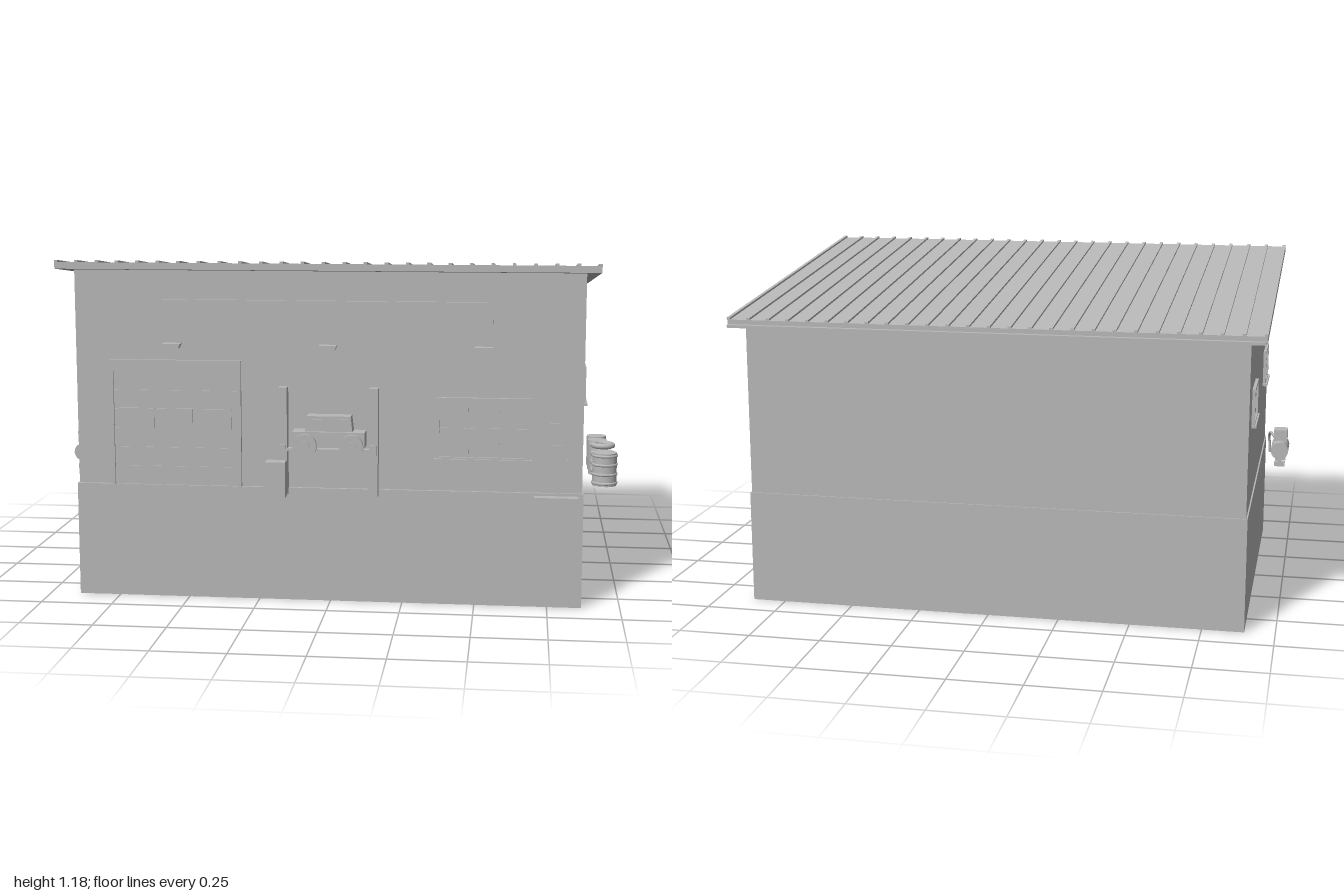
import * as THREE from 'three';

export function createModel() {
  const root = new THREE.Group();
  root.name = 'workshop';
  const grey = new THREE.MeshStandardMaterial({ color: 0xb8b8b8 });
  grey.name = 'plain grey';

  function add(name, geo, parent = root) {
    const m = new THREE.Mesh(geo, grey);
    m.name = name;
    parent.add(m);
    return m;
  }
  function group(name, parent = root) {
    const g = new THREE.Group();
    g.name = name;
    parent.add(g);
    return g;
  }
  // box given by its limits
  function box(name, x0, x1, y0, y1, z0, z1, parent) {
    const m = add(name, new THREE.BoxGeometry(x1 - x0, y1 - y0, z1 - z0), parent);
    m.position.set((x0 + x1) / 2, (y0 + y1) / 2, (z0 + z1) / 2);
    return m;
  }
  // side profile of [z, y] points carried along x
  function prism(name, pts, x0, x1, parent) {
    const shape = new THREE.Shape(pts.map(p => new THREE.Vector2(p[0], p[1])));
    const geo = new THREE.ExtrudeGeometry(shape, { depth: x1 - x0, bevelEnabled: false });
    geo.rotateY(-Math.PI / 2);
    geo.translate(x1, 0, 0);
    return add(name, geo, parent);
  }
  function cyl(name, r, h, x, y, z, parent, axis = 'y') {
    const geo = new THREE.CylinderGeometry(r, r, h, 24);
    if (axis === 'z') geo.rotateX(Math.PI / 2);
    if (axis === 'x') geo.rotateZ(Math.PI / 2);
    const m = add(name, geo, parent);
    m.position.set(x, y, z);
    return m;
  }
  function ring(name, r, t, x, y, z, parent) {
    const geo = new THREE.TorusGeometry(r, t, 8, 24);
    geo.rotateX(Math.PI / 2);
    const m = add(name, geo, parent);
    m.position.set(x, y, z);
    return m;
  }
  function tube(name, pts, r, parent) {
    const curve = new THREE.CatmullRomCurve3(pts.map(p => new THREE.Vector3(...p)));
    return add(name, new THREE.TubeGeometry(curve, 16, r, 8), parent);
  }

  // building shell
  box('plinth', -0.895, 0.868, 0, 0.4, -0.64, 0.625);
  prism('walls', [[0.615, 0.4], [0.615, 1.158], [-0.635, 1.012], [-0.635, 0.4]], -0.89, 0.863);

  // sloping roof with standing ribs
  const roof = group('roof');
  prism('roofSlab', [[0.665, 1.155], [0.665, 1.178], [-0.685, 1.03], [-0.685, 1.007]], -0.945, 0.91, roof);
  for (let i = 0; i <= 26; i++) {
    const x = -0.94 + i * 0.071;
    prism('roofRib', [[0.665, 1.176], [0.665, 1.185], [-0.685, 1.037], [-0.685, 1.028]], x - 0.006, x + 0.006, roof);
  }
  box('gutter', -0.94, 0.905, 1.004, 1.014, -0.705, -0.684, roof);

  // roller door
  const door = group('rollerDoor');
  box('doorPanel', -0.765, -0.315, 0.4, 0.83, 0.61, 0.618, door);
  for (let i = 0; i < 6; i++) {
    const y = 0.405 + i * 0.067;
    box('doorSlat', -0.76, -0.32, y, y + 0.061, 0.612, 0.621, door);
  }
  for (const x of [-0.77, -0.322]) box('doorJamb', x, x + 0.012, 0.4, 0.84, 0.61, 0.628, door);
  box('doorHeader', -0.77, -0.31, 0.8, 0.84, 0.61, 0.628, door);
  for (let i = 0; i < 3; i++) {
    const x = -0.74 + i * 0.135;
    box('doorWindow', x, x + 0.125, 0.6, 0.67, 0.616, 0.625, door);
  }

  // blank sign board and its lamps
  const sign = group('signBoard');
  box('signPanel', -0.58, 0.555, 0.935, 1.05, 0.61, 0.63, sign);
  for (const x of [-0.545, -0.005, 0.525]) {
    const shade = new THREE.Shape();
    shade.moveTo(-0.031, 0.9);
    shade.lineTo(-0.024, 0.884);
    shade.lineTo(-0.014, 0.879);
    shade.lineTo(0.014, 0.879);
    shade.lineTo(0.024, 0.884);
    shade.lineTo(0.031, 0.9);
    const lamp = add('lamp', new THREE.ExtrudeGeometry(shade, { depth: 0.034, bevelEnabled: false }), sign);
    lamp.position.set(x, 0, 0.622);
    box('lampArm', x - 0.004, x + 0.004, 0.889, 0.895, 0.61, 0.63, sign);
  }

  // framed window, drawn facing +z around its own centre
  function makeWindow(name, w, h, cols, rows) {
    const g = group(name);
    box('glass', -w / 2, w / 2, -h / 2, h / 2, -0.005, 0.003, g);
    for (const s of [-1, 1]) {
      box('frameSide', s * (w / 2 - 0.005) - 0.005, s * (w / 2 - 0.005) + 0.005, -h / 2, h / 2, -0.005, 0.011, g);
      box('frameRail', -w / 2, w / 2, s * (h / 2 - 0.005) - 0.005, s * (h / 2 - 0.005) + 0.005, -0.005, 0.011, g);
    }
    for (let i = 1; i < cols; i++) {
      const x = -w / 2 + (w * i) / cols;
      box('mullion', x - 0.003, x + 0.003, -h / 2 + 0.008, h / 2 - 0.008, -0.005, 0.008, g);
    }
    for (let i = 1; i < rows; i++) {
      const y = -h / 2 + (h * i) / rows;
      box('glazingBar', -w / 2, w / 2, y - 0.003, y + 0.003, -0.005, 0.007, g);
    }
    box('sill', -w / 2 - 0.006, w / 2 + 0.006, -h / 2 - 0.005, -h / 2 + 0.004, -0.005, 0.017, g);
    return g;
  }
  makeWindow('frontWindow', 0.32, 0.215, 3, 2).position.set(0.525, 0.617, 0.617);
  for (const z of [0.365, -0.385]) {
    const left = makeWindow('leftWindow', 0.2, 0.13, 2, 1);
    left.position.set(0.863, 0.75, z);
    left.rotation.y = Math.PI / 2;
    const right = makeWindow('rightWindow', 0.2, 0.13, 2, 1);
    right.position.set(-0.89, 0.75, z);
    right.rotation.y = -Math.PI / 2;
  }

  // small side door with step
  const entry = group('entryDoor');
  box('entryPanel', 0.72, 0.825, 0.4, 0.64, 0.61, 0.618, entry);
  box('entryStile', 0.77, 0.775, 0.42, 0.63, 0.612, 0.621, entry);
  box('entryRail', 0.745, 0.8, 0.56, 0.565, 0.612, 0.621, entry);
  cyl('doorKnob', 0.006, 0.02, 0.813, 0.51, 0.622, entry, 'z');
  box('doorStep', 0.7, 0.85, 0.376, 0.391, 0.61, 0.66, entry);

  // two-post lift
  const lift = group('carLift');
  for (const x of [-0.16, 0.153]) {
    box('liftPost', x - 0.015, x + 0.015, 0.38, 0.755, 0.622, 0.66, lift);
    box('liftCarriage', x - 0.012, x + 0.012, 0.525, 0.56, 0.64, 0.668, lift);
  }
  box('liftArm', -0.15, 0.145, 0.535, 0.544, 0.632, 0.66, lift);
  box('controlCabinet', -0.215, -0.146, 0.38, 0.503, 0.655, 0.705, lift);

  // car raised on the lift
  const car = group('raisedCar');
  box('carBody', -0.125, 0.125, 0.553, 0.607, 0.618, 0.682, car);
  const cabin = new THREE.Shape();
  cabin.moveTo(-0.082, 0.605);
  cabin.lineTo(0.082, 0.605);
  cabin.lineTo(0.076, 0.66);
  cabin.lineTo(-0.076, 0.66);
  add('carCabin', new THREE.ExtrudeGeometry(cabin, { depth: 0.052, bevelEnabled: false }), car).position.z = 0.618;
  box('carGlass', -0.066, 0.066, 0.625, 0.65, 0.666, 0.674, car);
  for (const x of [-0.08, 0.08]) {
    cyl('carWheel', 0.041, 0.032, x, 0.56, 0.68, car, 'z');
    cyl('wheelHub', 0.018, 0.008, x, 0.56, 0.696, car, 'z');
  }

  // drums on the left wall with tie rails
  const drums = group('drumRow');
  for (const z of [0.163, 0.079, -0.009]) {
    cyl('drum', 0.036, 0.112, 0.937, 0.436, z, drums);
  }
  for (const y of [0.418, 0.456]) {
    cyl('drumRail', 0.003, 0.26, 0.937, y, 0.085, drums).rotation.x = Math.PI / 2;
  }

  // ribbed barrel with tyres stacked beside it
  const stack = group('barrelAndTyres');
  cyl('barrel', 0.043, 0.118, 0.95, 0.439, 0.363, stack);
  for (const y of [0.39, 0.422, 0.456, 0.488]) ring('barrelHoop', 0.042, 0.005, 0.95, y, 0.363, stack);
  for (const y of [0.43, 0.46, 0.49, 0.52]) ring('tyre', 0.034, 0.01, 0.943, y, 0.34, stack);

  // air compressor by the right wall
  const comp = group('airCompressor');
  cyl('tank', 0.033, 0.13, -0.966, 0.447, 0.233, comp, 'z');
  box('motor', -0.993, -0.942, 0.478, 0.52, 0.205, 0.265, comp);
  for (const z of [0.185, 0.28]) {
    box('foot', -0.987, -0.947, 0.385, 0.402, z - 0.01, z + 0.01, comp);
    box('footLeg', -0.975, -0.957, 0.4, 0.42, z - 0.006, z + 0.006, comp);
  }
  tube('hose', [[-0.945, 0.48, 0.25], [-0.925, 0.485, 0.32], [-0.918, 0.455, 0.38], [-0.922, 0.39, 0.39]], 0.005, comp);

  return root;
}
